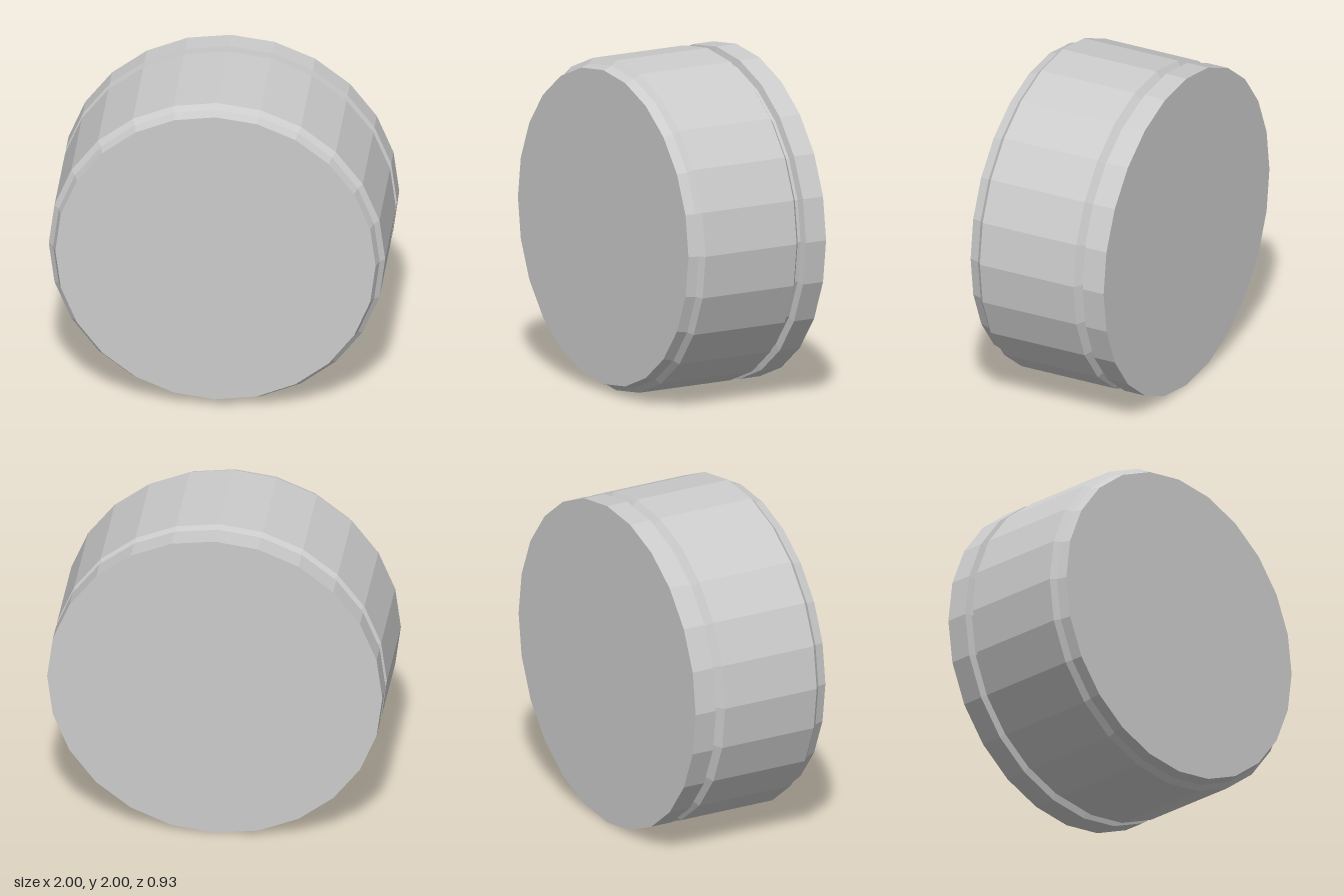
import * as THREE from 'three';

const SIDES = 24;
const material = new THREE.MeshStandardMaterial({ color: 0xcccccc, flatShading: true });

// Faceted turned part around the z axis; profile holds [radius, z] from back to front
function turned(name, profile) {
  const points = profile.map(([r, z]) => new THREE.Vector2(r, z));
  const geometry = new THREE.LatheGeometry(points, SIDES).rotateX(Math.PI / 2).toNonIndexed();
  geometry.computeVertexNormals();
  const mesh = new THREE.Mesh(geometry, material);
  mesh.name = name;
  return mesh;
}

// Flat end disc facing +z, or -z when facing is -1
function cap(name, radius, z, facing) {
  const geometry = new THREE.CircleGeometry(radius, SIDES);
  if (facing < 0) geometry.rotateY(Math.PI);
  const mesh = new THREE.Mesh(geometry, material);
  mesh.position.z = z;
  mesh.name = name;
  return mesh;
}

export function createModel() {
  const group = new THREE.Group();
  group.name = 'roundCap';
  const parts = new THREE.Group();
  parts.name = 'capParts';
  parts.position.y = 1;

  // Back rim, with its step down into the groove
  parts.add(turned('backRim', [[1, -0.465], [1, -0.325], [0.955, -0.315]]));
  parts.add(cap('backFace', 1, -0.465, -1));

  // Narrow groove between rim and body
  parts.add(turned('groove', [[0.955, -0.315], [0.955, -0.295]]));

  // Main body, chamfered at the back and rounded at the front
  parts.add(turned('body', [[0.955, -0.295], [1, -0.26], [1, 0.375], [0.97, 0.405], [0.952, 0.465]]));
  parts.add(cap('frontFace', 0.952, 0.465, 1));

  group.add(parts);
  return group;
}
